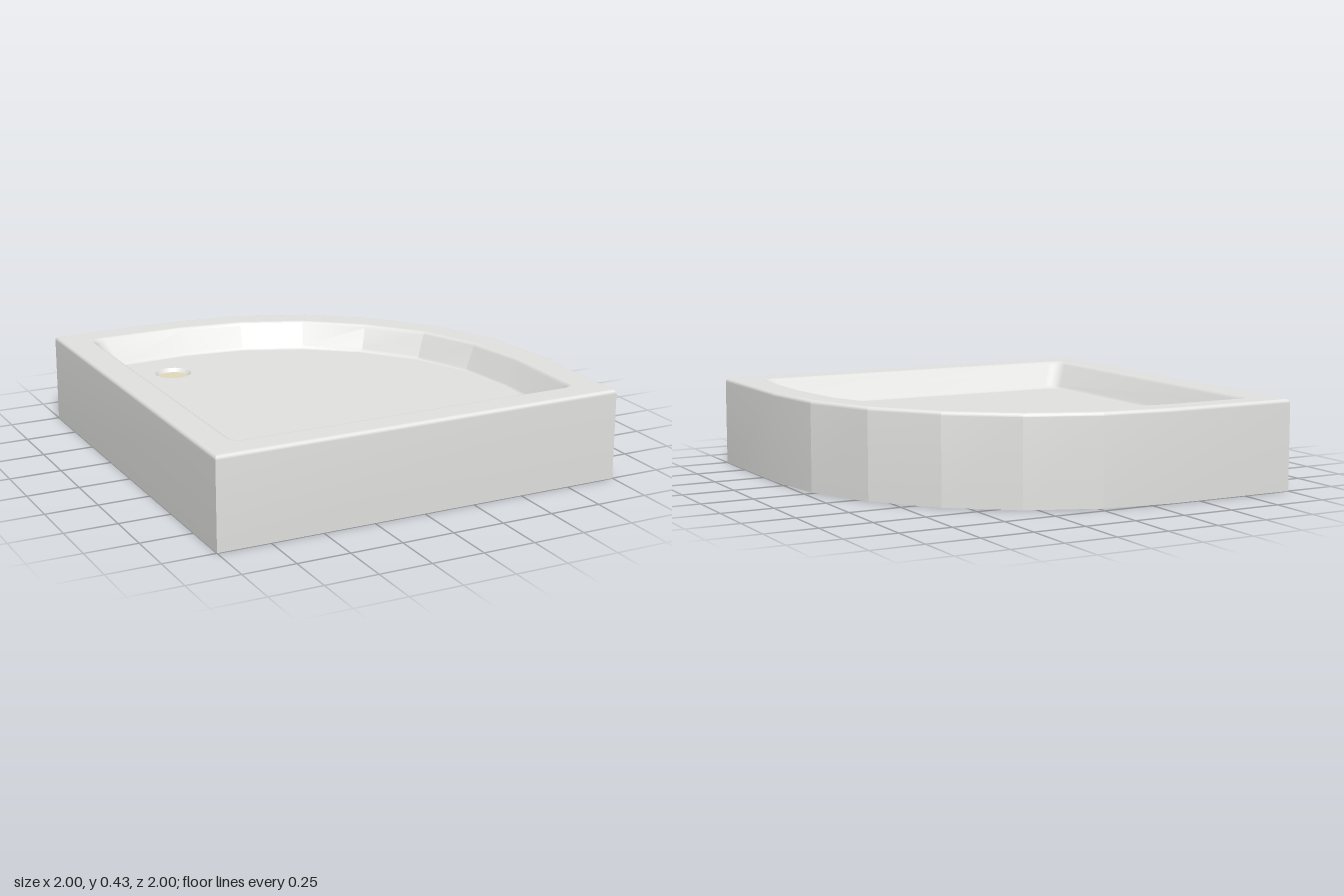
import * as THREE from 'three';
import { toCreasedNormals } from 'three/addons/utils/BufferGeometryUtils.js';

const V = (x, z) => new THREE.Vector2(x, z);
const paint = (name, color) => Object.assign(new THREE.MeshStandardMaterial({ color }), { name });

// Quarter-round outlines as [x, z, rounded corner?]
const OUTER = [[-1, -1], [-0.36, -1], [-0.02, -0.955], [0.31, -0.82], [0.597, -0.597],
  [0.82, -0.31], [0.955, 0.02], [1, 0.36], [1, 1], [-1, 1]].map(([x, z]) => V(x, z));
const OPENING = [[-0.87, -0.875, 1], [-0.38, -0.875], [-0.06, -0.83], [0.24, -0.71], [0.5, -0.5],
  [0.705, -0.245], [0.825, 0.055], [0.87, 0.37], [0.87, 0.87, 1], [-0.87, 0.87, 1]];
const FLOOR = [[-0.775, -0.775, 1], [-0.38, -0.79], [-0.08, -0.75], [0.2, -0.63], [0.445, -0.445],
  [0.635, -0.205], [0.75, 0.07], [0.79, 0.38], [0.78, 0.765, 1], [-0.75, 0.735, 1]];

// Replace the flagged corners of an outline with small curves
function roundCorners(points, r) {
  const n = points.length, p = points.map(([x, z]) => V(x, z));
  return p.flatMap((c, i) => {
    if (!points[i][2]) return [c];
    const toward = q => c.clone().add(q.clone().sub(c).setLength(r));
    return new THREE.QuadraticBezierCurve(toward(p[(i + n - 1) % n]), c, toward(p[(i + 1) % n])).getPoints(10);
  });
}

// Mitred inward offset of a loop
function inset(loop, d) {
  const n = loop.length;
  const normal = (a, b) => V(a.y - b.y, b.x - a.x).normalize();
  return loop.map((c, i) => {
    const n1 = normal(loop[(i + n - 1) % n], c), n2 = normal(c, loop[(i + 1) % n]);
    return c.clone().addScaledVector(n1.clone().add(n2), d / (1 + n1.dot(n2)));
  });
}

const circle = (x, z, r, n = 48) => Array.from({ length: n }, (_, i) =>
  V(x + r * Math.cos(i / n * Math.PI * 2), z + r * Math.sin(i / n * Math.PI * 2)));

// Skin through rings [loop, y]: rising rings face outward, falling rings face inward
function loft(rings, crease = 0.22) {
  const pos = [];
  for (let k = 0; k + 1 < rings.length; k++) {
    const [A, ya] = rings[k], [B, yb] = rings[k + 1], n = A.length;
    for (let i = 0; i < n; i++) {
      const j = (i + 1) % n;
      const a = [A[i].x, ya, A[i].y], a2 = [A[j].x, ya, A[j].y];
      const b = [B[i].x, yb, B[i].y], b2 = [B[j].x, yb, B[j].y];
      pos.push(...a, ...b, ...a2, ...a2, ...b, ...b2);
    }
  }
  const g = new THREE.BufferGeometry();
  g.setAttribute('position', new THREE.Float32BufferAttribute(pos, 3));
  g.computeVertexNormals();
  return toCreasedNormals(g, crease);
}

// Horizontal face with holes, facing up or down
function flat(loop, holes, y, up = true) {
  const s = up ? -1 : 1, map = l => l.map(p => V(p.x, p.y * s));
  const shape = new THREE.Shape(map(loop));
  shape.holes = holes.map(h => new THREE.Path(map(h)));
  return new THREE.ShapeGeometry(shape).rotateX(s * Math.PI / 2).translate(0, y, 0);
}

export function createModel() {
  const group = new THREE.Group();
  const white = paint('white acrylic', 0xe2e2e0);
  const beige = paint('beige backing', 0xe2dabd);
  const dark = paint('dark outlet', 0x333333);
  const add = (name, geometry, material) => {
    const mesh = new THREE.Mesh(geometry, material);
    mesh.name = name;
    group.add(mesh);
  };
  const H = 0.43, FLOOR_Y = 0.3, BASE_TOP = 0.167;

  // Outer skirt with a softened top edge
  const skirt = [[OUTER, 0]];
  for (let i = 0; i <= 8; i++) {
    const a = i / 8 * Math.PI / 2;
    skirt.push([inset(OUTER, 0.018 * (1 - Math.cos(a))), H - 0.018 * (1 - Math.sin(a))]);
  }
  add('skirt', loft(skirt), white);

  // Basin wall: sloping sides with soft top and bottom edges
  const open = roundCorners(OPENING, 0.07), low = roundCorners(FLOOR, 0.06);
  const at = t => open.map((p, i) => p.clone().lerp(low[i], t));
  const bend = (...p) => new THREE.QuadraticBezierCurve(...p).getPoints(6);
  const slope = t => H + (FLOOR_Y - H) * t;
  const profile = [
    ...bend(V(0, H), V(0.12, H), V(0.22, slope(0.12))),
    ...bend(V(0.78, slope(0.88)), V(0.88, FLOOR_Y), V(1, FLOOR_Y)),
  ];
  add('basinWall', loft(profile.map(p => [at(p.x), p.y])), white);
  add('rimTop', flat(inset(OUTER, 0.018), [open], H), white);

  // Basin floor and tapered drain
  const drainTop = circle(-0.55, -0.55, 0.088), drainLow = circle(-0.55, -0.55, 0.073);
  add('basinFloor', flat(low, [drainTop], FLOOR_Y), white);
  add('drainWall', loft([[drainTop, FLOOR_Y], [drainLow, FLOOR_Y - 0.018]]), white);
  add('drainDisc', flat(drainLow, [], FLOOR_Y - 0.018), beige);

  // Underside: thin skirt edge and beige lining
  const lining = inset(OUTER, 0.035);
  add('skirtEdge', flat(OUTER, [lining], 0, false), white);
  add('liningWall', loft([[lining, BASE_TOP], [lining, 0]]), beige);
  add('liningCeiling', flat(lining, [], BASE_TOP, false), beige);

  // Support block with a round recess and central outlet
  const block = inset(OUTER, 0.155), recess = circle(0, 0, 0.375);
  add('supportSide', loft([[block, 0], [block, BASE_TOP]]), white);
  add('supportBase', flat(block, [recess], 0, false), white);
  add('recessWall', loft([[recess, BASE_TOP], [recess, 0]]), white);
  add('outlet', flat(circle(0, 0, 0.09, 12), [], BASE_TOP - 0.003, false), dark);
  return group;
}
